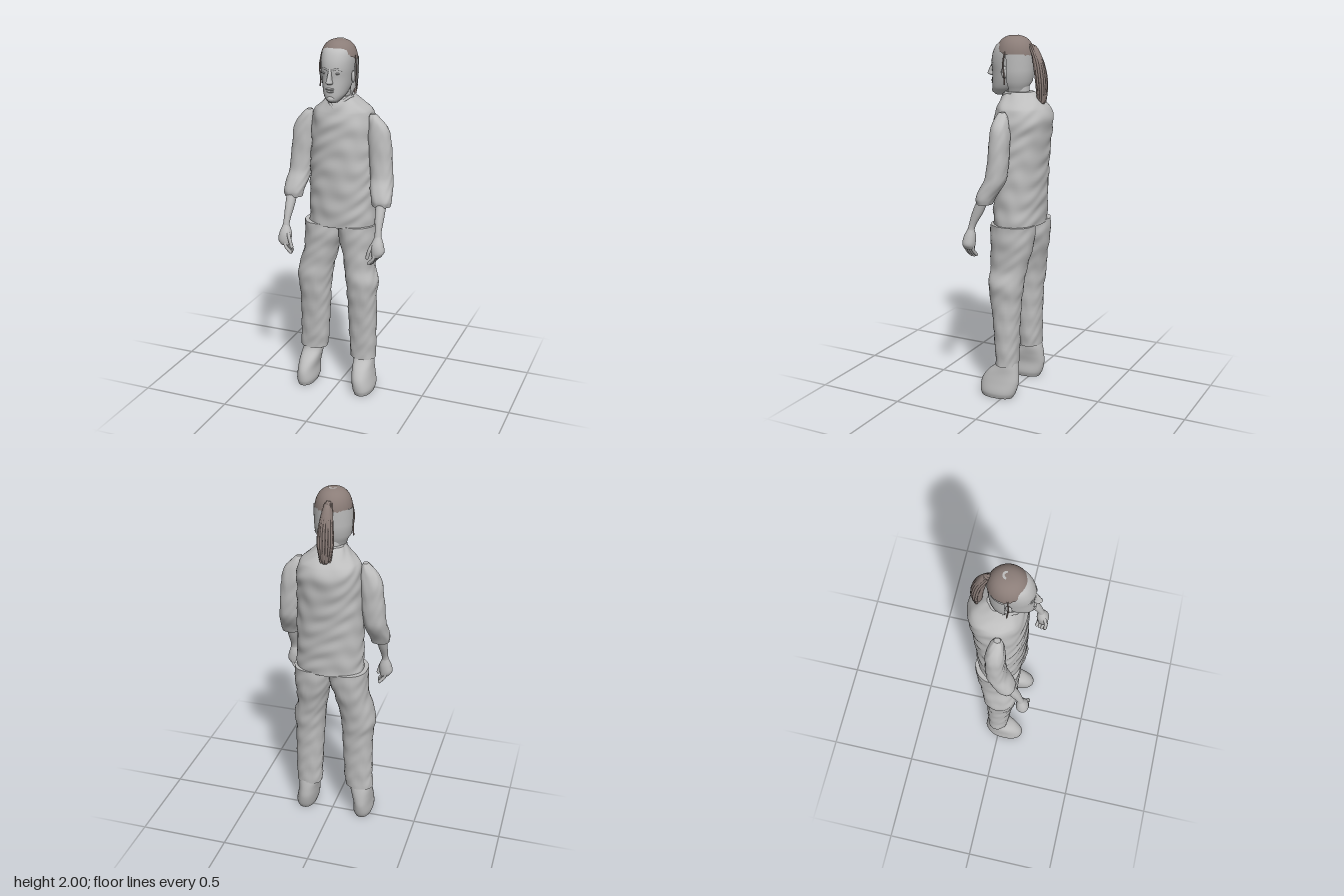
import * as THREE from 'three';

const grey = new THREE.MeshStandardMaterial({ color: 0xbdbdbd, side: THREE.DoubleSide });
grey.name = 'plain grey';
const brown = new THREE.MeshStandardMaterial({ color: 0x8b7d78, side: THREE.DoubleSide });
brown.name = 'hair brown';

// Smooth solid through horizontal sections [y, x0, x1, z0, z1], listed upwards.
// p is the superellipse power, ripple the depth of cloth folds.
function loft(sections, { p = 2.2, seg = 32, steps = 6, ripple = 0 } = {}) {
  const mids = new THREE.CatmullRomCurve3(sections.map(([y, a, b, c, d]) => new THREE.Vector3((a + b) / 2, y, (c + d) / 2)));
  const radii = new THREE.CatmullRomCurve3(sections.map(([y, a, b, c, d]) => new THREE.Vector3(Math.abs(b - a) / 2, y, Math.abs(d - c) / 2)));
  const rows = (sections.length - 1) * steps;
  const pos = [], idx = [];
  const pw = (v) => Math.sign(v) * Math.abs(v) ** (2 / p);
  for (let i = 0; i <= rows; i++) {
    const m = mids.getPoint(i / rows), r = radii.getPoint(i / rows);
    for (let j = 0; j < seg; j++) {
      const a = (j / seg) * Math.PI * 2;
      const f = ripple * Math.sin(m.y * 55 + 2 * Math.sin(a * 3 + m.y * 9)) * Math.cos(a * 4 + m.y * 14);
      pos.push(m.x + pw(Math.cos(a)) * (r.x + f), m.y, m.z + pw(Math.sin(a)) * (r.z + f));
    }
  }
  for (let i = 0; i < rows; i++) for (let j = 0; j < seg; j++) {
    const k = (j + 1) % seg, a = i * seg + j, b = i * seg + k;
    idx.push(a, a + seg, b, b, a + seg, b + seg);
  }
  // end caps with their own corners, to keep the rims crisp
  for (const row of [0, rows]) {
    const start = pos.length / 3, m = mids.getPoint(row / rows);
    for (let j = 0; j < seg; j++) pos.push(...pos.slice((row * seg + j) * 3, (row * seg + j) * 3 + 3));
    pos.push(m.x, m.y, m.z);
    for (let j = 0; j < seg; j++) {
      const a = start + j, b = start + ((j + 1) % seg);
      idx.push(start + seg, row ? b : a, row ? a : b);
    }
  }
  return surface(pos, idx);
}

function surface(pos, idx) {
  const g = new THREE.BufferGeometry();
  g.setAttribute('position', new THREE.Float32BufferAttribute(pos, 3));
  g.setIndex(idx);
  g.computeVertexNormals();
  return g;
}

// Hair cap whose lower edge is high over the forehead and low at the back
function hairCap() {
  const pos = [], idx = [], seg = 64, rows = 16;
  for (let i = 0; i <= rows; i++) for (let j = 0; j < seg; j++) {
    const a = (j / seg) * Math.PI * 2, front = Math.max(0, Math.sin(a));
    const edge = 1.9 + 0.06 * front ** 1.5 + 0.004 * Math.sin(j * 2.3);
    const e0 = Math.asin((edge - 1.87) / 0.13);
    const e = e0 + (Math.PI / 2 - e0) * (i / rows);
    const h = Math.sin(e), r = Math.max(0, 1 - h ** 2.5) ** 0.4;
    pos.push(Math.cos(a) * r * 0.099, 1.87 + 0.13 * h, 0.015 + Math.sin(a) * r * 0.107);
  }
  for (let i = 0; i < rows; i++) for (let j = 0; j < seg; j++) {
    const k = (j + 1) % seg, a = i * seg + j, b = i * seg + k;
    idx.push(a, a + seg, b, b, a + seg, b + seg);
  }
  return surface(pos, idx);
}

export function createModel() {
  const model = new THREE.Group();
  model.name = 'standingFigure';
  const add = (name, geometry, material = grey) => {
    const m = new THREE.Mesh(geometry, material);
    m.name = name;
    model.add(m);
    return m;
  };
  const ball = (name, x, y, z, sx, sy, sz) => {
    const m = add(name, new THREE.SphereGeometry(1, 20, 14));
    m.position.set(x, y, z);
    m.scale.set(sx, sy, sz);
    return m;
  };
  const tube = (name, points, r, material = grey) => add(name, new THREE.TubeGeometry(
    new THREE.CatmullRomCurve3(points.map((q) => new THREE.Vector3(...q))), 14, r, 8), material);

  // Shirt
  add('shirt', loft([
    [0.985, -0.182, 0.195, -0.15, 0.108], [1.1, -0.18, 0.192, -0.155, 0.112],
    [1.3, -0.175, 0.188, -0.165, 0.116], [1.48, -0.168, 0.182, -0.182, 0.114],
    [1.57, -0.165, 0.178, -0.192, 0.11], [1.62, -0.15, 0.162, -0.176, 0.1],
    [1.66, -0.108, 0.116, -0.14, 0.088], [1.705, -0.068, 0.072, -0.09, 0.062],
  ], { seg: 64, steps: 12, ripple: 0.004 }));
  // Collar flaps meeting in a V
  for (const s of [-1, 1]) tube('collar', [[s * 0.07, 1.7, 0], [s * 0.052, 1.69, 0.055], [s * 0.004, 1.645, 0.088]], 0.008);

  // Trouser legs
  add('rightTrouserLeg', loft([
    [0.21, -0.245, -0.085, -0.066, 0.055], [0.3, -0.24, -0.076, -0.07, 0.062], [0.45, -0.236, -0.068, -0.075, 0.075],
    [0.58, -0.238, -0.06, -0.084, 0.093], [0.66, -0.25, -0.054, -0.095, 0.103], [0.74, -0.234, -0.04, -0.105, 0.1],
    [0.84, -0.21, -0.018, -0.13, 0.1], [0.92, -0.208, 0.006, -0.142, 0.103], [0.993, -0.205, 0.008, -0.146, 0.103],
  ], { ripple: 0.003 }));
  add('leftTrouserLeg', loft([
    [0.19, 0.065, 0.212, -0.066, 0.055], [0.3, 0.06, 0.214, -0.07, 0.062], [0.45, 0.055, 0.215, -0.075, 0.075],
    [0.58, 0.05, 0.215, -0.084, 0.093], [0.66, 0.044, 0.222, -0.095, 0.103], [0.74, 0.034, 0.2, -0.105, 0.1],
    [0.84, 0.015, 0.203, -0.13, 0.1], [0.92, -0.006, 0.207, -0.142, 0.103], [0.993, -0.008, 0.206, -0.146, 0.103],
  ], { ripple: 0.003 }));

  // Shoes
  add('rightShoe', loft([
    [0, -0.232, -0.135, -0.05, 0.138], [0.03, -0.24, -0.126, -0.066, 0.147], [0.09, -0.236, -0.13, -0.08, 0.142],
    [0.14, -0.235, -0.122, -0.078, 0.11], [0.19, -0.23, -0.115, -0.07, 0.055], [0.25, -0.215, -0.115, -0.055, 0.04],
  ]));
  add('leftShoe', loft([
    [0, 0.115, 0.218, -0.05, 0.138], [0.03, 0.105, 0.225, -0.066, 0.147], [0.09, 0.096, 0.214, -0.08, 0.142],
    [0.14, 0.092, 0.205, -0.078, 0.11], [0.19, 0.088, 0.2, -0.07, 0.055], [0.25, 0.095, 0.19, -0.055, 0.04],
  ]));

  // Arms, mirrored about a line slightly to the left
  for (const s of [-1, 1]) {
    const side = s < 0 ? 'right' : 'left';
    const X = (x) => s * x + 0.004;
    const flip = (list) => list.map(([y, a, b, c, d]) => [y, X(a), X(b), c, d]);
    add(side + 'Sleeve', loft(flip([
      [1.13, 0.207, 0.305, 0.025, 0.105], [1.16, 0.2, 0.312, 0.01, 0.11], [1.22, 0.184, 0.306, -0.028, 0.088],
      [1.28, 0.176, 0.298, -0.05, 0.062], [1.4, 0.162, 0.288, -0.056, 0.05], [1.5, 0.156, 0.276, -0.056, 0.046],
      [1.55, 0.156, 0.256, -0.046, 0.038], [1.59, 0.16, 0.22, -0.032, 0.028], [1.612, 0.168, 0.196, -0.018, 0.015],
    ]), { ripple: 0.002 }));
    add(side + 'Forearm', loft(flip([
      [0.95, 0.25, 0.292, 0.128, 0.17], [1.0, 0.25, 0.285, 0.12, 0.158],
      [1.08, 0.238, 0.287, 0.075, 0.135], [1.16, 0.23, 0.29, 0.04, 0.1],
    ]), { seg: 20 }));
    add(side + 'Palm', loft(flip([
      [0.875, 0.238, 0.292, 0.128, 0.185], [0.9, 0.236, 0.308, 0.122, 0.19],
      [0.94, 0.235, 0.302, 0.12, 0.185], [0.985, 0.252, 0.286, 0.125, 0.162],
    ]), { seg: 20 }));
    for (let f = 0; f < 4; f++) {
      const z = 0.13 + f * 0.016, low = 0.838 - 0.006 * Math.sin(f), x = 0.276 - f * 0.004;
      tube(side + 'Finger', [[X(x), 0.9, z], [X(x - 0.008), 0.868, z + 0.003], [X(x - 0.034), low, z - 0.002]], 0.009);
      ball(side + 'Fingertip', X(x - 0.034), low, z - 0.002, 0.009, 0.01, 0.009);
    }
    tube(side + 'Thumb', [[X(0.25), 0.95, 0.165], [X(0.232), 0.91, 0.18], [X(0.222), 0.872, 0.18]], 0.01);
    ball(side + 'Thumbtip', X(0.222), 0.872, 0.18, 0.01, 0.012, 0.01);
  }

  // Neck and head
  add('neck', loft([[1.6, -0.06, 0.06, -0.075, 0.055], [1.69, -0.055, 0.055, -0.065, 0.062], [1.77, -0.055, 0.055, -0.06, 0.065]]));
  add('head', loft([
    [1.682, -0.024, 0.024, 0.07, 0.13], [1.695, -0.038, 0.038, 0.04, 0.143], [1.72, -0.056, 0.056, -0.01, 0.147],
    [1.76, -0.069, 0.069, -0.06, 0.147], [1.81, -0.077, 0.077, -0.072, 0.145], [1.86, -0.083, 0.083, -0.08, 0.148],
    [1.91, -0.084, 0.084, -0.078, 0.138], [1.95, -0.076, 0.076, -0.068, 0.116], [1.98, -0.048, 0.048, -0.045, 0.07],
    [1.992, -0.02, 0.02, -0.01, 0.03],
  ]));
  // Shell round the back of the head
  const shell = add('headBack', new THREE.LatheGeometry(
    [[0.065, 1.69], [0.078, 1.73], [0.098, 1.76], [0.103, 1.82], [0.105, 1.905]].map(([r, y]) => new THREE.Vector2(r, y)),
    32, Math.PI / 2, Math.PI));
  shell.position.z = 0.018;

  // Face
  add('nose', loft([
    [1.783, -0.013, 0.013, 0.13, 0.164], [1.792, -0.017, 0.017, 0.13, 0.181], [1.805, -0.013, 0.013, 0.13, 0.178],
    [1.845, -0.009, 0.009, 0.13, 0.158], [1.865, -0.008, 0.008, 0.13, 0.147],
  ], { seg: 16 }));
  ball('upperLip', 0, 1.757, 0.145, 0.024, 0.006, 0.011);
  ball('lowerLip', 0, 1.744, 0.144, 0.02, 0.006, 0.011);
  ball('chin', 0, 1.705, 0.135, 0.022, 0.018, 0.018);
  for (const s of [-1, 1]) {
    ball('eye', s * 0.033, 1.838, 0.13, 0.014, 0.007, 0.012);
    tube('brow', [[s * 0.014, 1.856, 0.146], [s * 0.035, 1.862, 0.137], [s * 0.055, 1.853, 0.118]], 0.005);
    ball('ear', s * 0.086, 1.81, 0.035, 0.01, 0.032, 0.018).rotation.y = s * 0.3;
    tube('hairStrand', [[s * 0.094, 1.92, 0.03], [s * 0.104, 1.85, 0.036], [s * 0.099, 1.79, 0.032], [s * 0.104, 1.745, 0.028]], 0.004, brown);
  }

  // Hair with a bare crescent on the crown
  add('hair', hairCap(), brown);
  const crown = add('crownPatch', new THREE.RingGeometry(0.011, 0.022, 24, 1, 0, Math.PI));
  crown.rotation.x = -Math.PI / 2;
  crown.position.set(0.002, 2, 0.006);

  // Ponytail of overlapping locks
  add('ponytail', loft([
    [1.63, -0.012, 0.012, -0.15, -0.13], [1.67, -0.026, 0.026, -0.166, -0.118], [1.75, -0.036, 0.036, -0.168, -0.11],
    [1.83, -0.034, 0.034, -0.158, -0.098], [1.9, -0.026, 0.026, -0.135, -0.085], [1.94, -0.016, 0.016, -0.112, -0.07],
    [1.955, -0.01, 0.01, -0.09, -0.06],
  ]), brown);
  for (let i = 0; i < 9; i++) {
    const a = (i / 8 - 0.5) * Math.PI, x = Math.sin(a), z = Math.cos(a);
    tube('ponytailLock', [
      [x * 0.014, 1.945, -0.08 - z * 0.02], [x * 0.03, 1.86, -0.118 - z * 0.028],
      [x * 0.039, 1.75, -0.138 - z * 0.03], [x * 0.024, 1.65 + 0.012 * (i % 3), -0.14 - z * 0.02],
    ], 0.007, brown);
  }
  return model;
}
